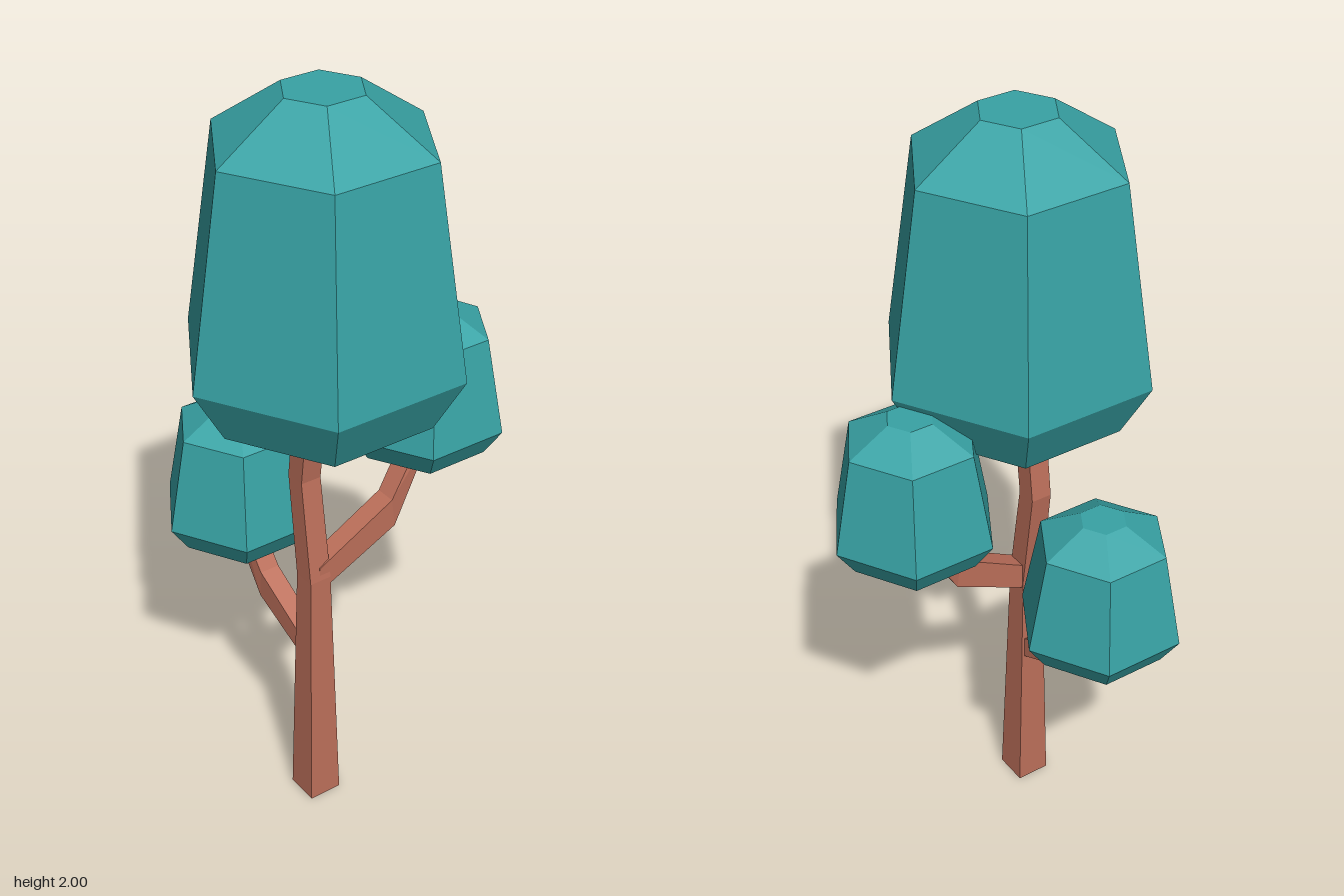
import * as THREE from 'three';

const leafMat = new THREE.MeshStandardMaterial({ color: 0x38a3a5, flatShading: true });
const barkMat = new THREE.MeshStandardMaterial({ color: 0xbc6f5a, flatShading: true });

// Six-sided crown: profile rows are [radius, height], closed at both ends
function crown(name, x, z, rows) {
  const points = [[0, rows[0][1]], ...rows, [0, rows[rows.length - 1][1]]]
    .map(([r, y]) => new THREE.Vector2(r, y));
  const mesh = new THREE.Mesh(new THREE.LatheGeometry(points, 6, Math.PI / 2), leafMat);
  mesh.name = name;
  mesh.position.set(x, 0, z);
  return mesh;
}

// Four-sided limb lofted through rings of [centre, half axis u, half axis v]
function limb(name, rings) {
  const position = [];
  const index = [];
  for (const [c, u, v] of rings) {
    for (const [a, b] of [[1, 1], [-1, 1], [-1, -1], [1, -1]]) {
      position.push(...c.map((n, k) => n + a * u[k] + b * v[k]));
    }
  }
  for (let r = 0; r < rings.length - 1; r++) {
    for (let i = 0; i < 4; i++) {
      const a = r * 4 + i;
      const b = r * 4 + (i + 1) % 4;
      index.push(a, b, b + 4, a, b + 4, a + 4);
    }
  }
  const e = (rings.length - 1) * 4;
  index.push(0, 2, 1, 0, 3, 2, e, e + 1, e + 2, e, e + 2, e + 3);
  const geometry = new THREE.BufferGeometry();
  geometry.setAttribute('position', new THREE.Float32BufferAttribute(position, 3));
  geometry.setIndex(index);
  geometry.computeVertexNormals();
  const mesh = new THREE.Mesh(geometry, barkMat);
  mesh.name = name;
  return mesh;
}

export function createModel() {
  const tree = new THREE.Group();
  tree.name = 'tree';

  // Tapered trunk with a slight backward bend near the top
  const level = (x, y, z, h) => [[x, y, z], [0, 0, h], [h, 0, 0]];
  tree.add(limb('trunk', [
    level(-0.115, 0, 0.08, 0.045),
    level(-0.115, 0.7, 0.077, 0.03),
    level(-0.115, 0.98, 0.04, 0.028),
    level(-0.115, 1.28, 0.078, 0.028),
  ]));

  // Side branch, bending upward into the side crown
  tree.add(limb('sideBranch', [
    [[-0.115, 0.70, 0.078], [0, 0.036, 0], [0, 0, 0.027]],
    [[0.11, 0.814, 0.077], [-0.005, 0.04, 0], [0, 0, 0.028]],
    [[0.235, 0.995, 0.048], [-0.016, 0, 0], [0, 0, 0.03]],
  ]));

  // Back branch, bending upward into the back crown
  tree.add(limb('backBranch', [
    [[-0.113, 0.455, 0.08], [0, 0.028, 0], [0.026, 0, 0]],
    [[-0.12, 0.563, -0.12], [0, 0.038, 0.003], [0.027, 0, 0]],
    [[-0.13, 0.72, -0.215], [0, 0, 0.026], [0.028, 0, 0]],
  ]));

  // Crowns
  tree.add(crown('mainCrown', -0.1025, 0.105,
    [[0.275, 1.22], [0.353, 1.36], [0.272, 1.88], [0.1, 2]]));
  const small = (y) => [[0.167, y], [0.214, y + 0.07], [0.166, y + 0.322], [0.06, y + 0.382]];
  tree.add(crown('sideCrown', 0.24, 0.044, small(0.96)));
  tree.add(crown('backCrown', -0.1275, -0.228, small(0.678)));

  return tree;
}
